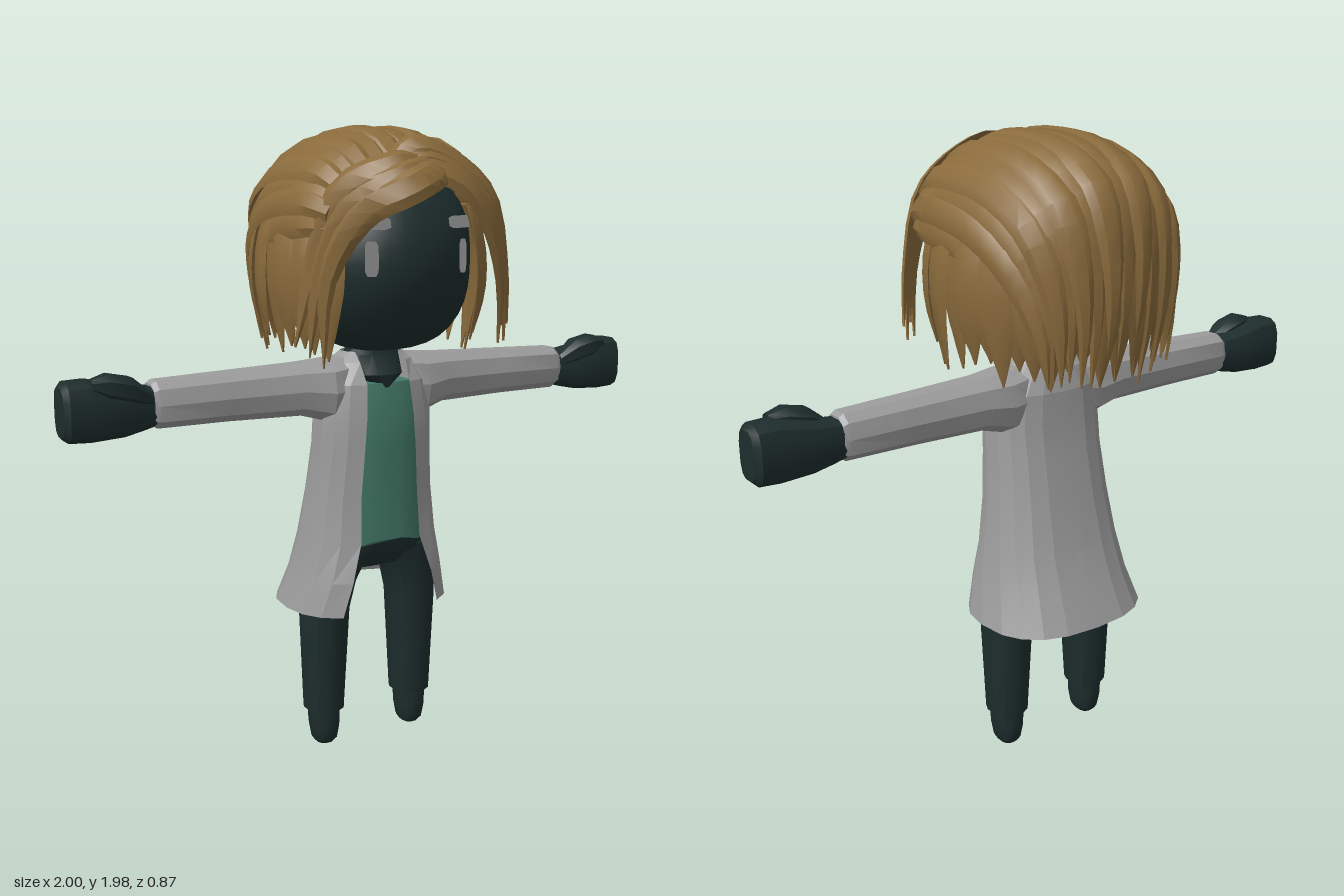
import * as THREE from 'three';
import { mergeGeometries, toCreasedNormals } from 'three/addons/utils/BufferGeometryUtils.js';

const V = (x, y, z) => new THREE.Vector3(x, y, z);
const spow = (v, p) => Math.sign(v) * Math.abs(v) ** p;
const jitter = (i) => { const s = Math.sin(i * 12.9898 + 4.1) * 43758.5453; return s - Math.floor(s); };

// Skin a list of equal-length rings that run counter-clockwise about the direction of travel.
function loft(rings, { closed = true, caps = true } = {}) {
  const n = rings[0].length, pos = [], idx = [];
  rings.forEach((r) => r.forEach((p) => pos.push(p.x, p.y, p.z)));
  for (let i = 0; i < rings.length - 1; i++) {
    for (let j = 0; j < (closed ? n : n - 1); j++) {
      const a = i * n + j, b = i * n + (j + 1) % n;
      idx.push(a, b, b + n, a, b + n, a + n);
    }
  }
  if (caps) {
    const e = (rings.length - 1) * n;
    for (let j = 1; j < n - 1; j++) idx.push(0, j + 1, j, e, e + j, e + j + 1);
  }
  const g = new THREE.BufferGeometry();
  g.setAttribute('position', new THREE.Float32BufferAttribute(pos, 3));
  g.setIndex(idx);
  return g;
}

// Upright body sections: [y, centre x, half width, back z, front z]
function upright(sections, sides, power = 0.8) {
  return loft(sections.map(([y, cx, hw, z0, z1]) => Array.from({ length: sides }, (_, k) => {
    const a = ((k + 0.5) / sides) * Math.PI * 2;
    return V(cx + hw * spow(Math.sin(a), power), y, (z0 + z1) / 2 + (z1 - z0) / 2 * spow(Math.cos(a), power));
  })));
}

// Sideways arm sections: [x, low y, high y, back z, front z]; s = 1 left, -1 right
function sideways(sections, s, sides, power = 0.8) {
  return loft(sections.map(([x, y0, y1, z0, z1]) => Array.from({ length: sides }, (_, k) => {
    const a = s * ((k + 0.5) / sides) * Math.PI * 2;
    return V(x * s, (y0 + y1) / 2 + (y1 - y0) / 2 * spow(Math.cos(a), power),
      (z0 + z1) / 2 + (z1 - z0) / 2 * spow(Math.sin(a), power));
  })));
}

// Flat tapering lock of hair along a curve, its broad face turned away from the head
const core = V(0, 1.6, -0.04);
function strand(points, width, thick = 0.016, steps = 12) {
  const curve = new THREE.CatmullRomCurve3(points);
  const rings = [];
  for (let i = 0; i <= steps; i++) {
    const t = i / steps, p = curve.getPoint(t), T = curve.getTangent(t);
    const S = p.clone().sub(core).normalize().cross(T).normalize();
    const O = T.clone().cross(S).normalize();
    const tip = t < 0.55 ? 1 : 1 - 0.96 * ((t - 0.55) / 0.45) ** 1.5;
    const w = width * Math.min(1, 0.65 + 2 * t) * tip, h = thick * (0.3 + 0.7 * tip);
    rings.push([[1, 0], [0.5, 1], [-0.5, 1], [-1, 0], [0, -0.5]].map(
      ([a, b]) => p.clone().addScaledVector(S, a * w).addScaledVector(O, b * h)));
  }
  return loft(rings);
}

// Head is a squarish ellipsoid; faceZ gives its front surface
const HEAD = { y: 1.58, z: 0.02, rx: 0.27, ry: 0.28, rz: 0.245, n: 2.6 };
const faceZ = (x, y) => HEAD.z + HEAD.rz * Math.max(0,
  1 - Math.abs(x / HEAD.rx) ** HEAD.n - Math.abs((y - HEAD.y) / HEAD.ry) ** HEAD.n) ** (1 / HEAD.n);

function headGeometry() {
  const g = new THREE.SphereGeometry(1, 32, 22), p = g.attributes.position;
  for (let i = 0; i < p.count; i++) {
    const v = V().fromBufferAttribute(p, i);
    const k = (Math.abs(v.x) ** HEAD.n + Math.abs(v.y) ** HEAD.n + Math.abs(v.z) ** HEAD.n) ** (-1 / HEAD.n);
    p.setXYZ(i, v.x * k * HEAD.rx, HEAD.y + v.y * k * HEAD.ry, HEAD.z + v.z * k * HEAD.rz);
  }
  return g;
}

// Thin facial plate hugging the head, rounded at both long ends
function facePatch(cx, cy, w, h) {
  const g = new THREE.PlaneGeometry(w, h, 8, 8), p = g.attributes.position;
  for (let i = 0; i < p.count; i++) {
    let x = p.getX(i), y = p.getY(i);
    if (h > w) x *= 1 - 0.35 * Math.abs(2 * y / h) ** 8;
    else y *= 1 - 0.35 * Math.abs(2 * x / w) ** 8;
    p.setXYZ(i, cx + x, cy + y, faceZ(cx + x, cy + y) + 0.009);
  }
  return g;
}

function hairGeometry() {
  const locks = [];
  // Crown: from the hairline over the top and down the back, [centre y, z] and [side x, y, z]
  const mid = [[1.84, 0.25], [1.93, 0.14], [1.955, -0.03], [1.93, -0.22], [1.84, -0.355], [1.68, -0.405], [1.5, -0.41], [1.3, -0.375]];
  const side = [[0.275, 1.69, 0.22], [0.305, 1.7, 0.14], [0.315, 1.69, 0.02], [0.312, 1.66, -0.1],
    [0.295, 1.6, -0.2], [0.268, 1.52, -0.27], [0.24, 1.42, -0.31], [0.22, 1.32, -0.325]];
  for (let i = 0; i < 17; i++) {
    const a = (i / 8 - 1) * Math.PI / 2, c = Math.abs(Math.cos(a)) ** 0.9, s = spow(Math.sin(a), 0.95);
    const lift = 1 + (i % 2) * 0.03, drop = (jitter(i) - 0.5) * 0.09;
    locks.push(strand(mid.map(([y, z], k) => {
      const [sx, sy, sz] = side[k];
      return V(sx * s * lift, sy + (y - sy) * c + (lift - 1) * 0.2 + drop * (k / 7) ** 3, (sz + (z - sz) * c) * (k > 3 ? lift : 1));
    }), 0.05, 0.016, 16));
  }
  // Lower layer: hanging locks round the sides and back
  for (let i = 0; i < 29; i++) {
    const a = THREE.MathUtils.degToRad(52 + i * 256 / 28);
    const power = Math.cos(a) > 0 ? 0.75 : 0.88;
    const x = 0.318 * spow(Math.sin(a), power), z = 0.33 * spow(Math.cos(a), power);
    const tip = 1.27 + jitter(i + 40) * 0.08, out = 1 + (i % 2) * 0.035;
    locks.push(strand([[0.9, 1.74], [1, 1.62], [1.01, 1.48], [0.94, tip]].map(
      ([k, y]) => V(x * k * out, y, -0.06 + z * k * out)), 0.062, 0.014, 8));
  }
  // Long fringe swept across the forehead to the left side
  for (let i = 0; i < 4; i++) {
    const d = i * 0.022;
    locks.push(strand([V(-0.17 + d, 1.79 + d, 0.27), V(-0.04, 1.845 + d, 0.33 - d * 0.6), V(0.09, 1.805 + d, 0.345 - d * 0.7),
      V(0.18 + d * 0.6, 1.7 + d, 0.335 - d * 0.6), V(0.24 + d * 0.9, 1.54, 0.315 - d * 0.8), V(0.27 + d, 1.33 + (i % 2) * 0.05, 0.275 - d * 0.7)],
    0.045, 0.016, 16));
  }
  // Curled fringe bulging forward, then falling on the right side
  for (let i = 0; i < 3; i++) {
    const d = i * 0.03;
    locks.push(strand([V(0.04, 1.85 + d * 0.5, 0.25), V(-0.03, 1.835 + d * 0.4, 0.37 - d), V(-0.13, 1.795 + d, 0.4 - d),
      V(-0.22 - d * 0.5, 1.73 + d, 0.31 - d), V(-0.285 - d * 0.4, 1.55, 0.22 - d), V(-0.28 - d, 1.28 + d, 0.18 - d)],
    0.05, 0.018, 16));
  }
  return toCreasedNormals(mergeGeometries(locks), 0.6);
}

export function createModel() {
  const model = new THREE.Group();
  const mat = (name, color, side = THREE.FrontSide) => {
    const m = new THREE.MeshStandardMaterial({ color, side });
    m.name = name;
    return m;
  };
  const dark = mat('dark skin and trousers', 0x1e2d2d);
  const hair = mat('golden brown hair', 0x8a6b3c, THREE.DoubleSide);
  const grey = mat('grey cloth', 0x9c9c9c, THREE.DoubleSide);
  const green = mat('green shirt', 0x437a68);
  const add = (name, geometry, material, crease = 0.6) => {
    const mesh = new THREE.Mesh(crease ? toCreasedNormals(geometry, crease) : geometry, material);
    mesh.name = name;
    model.add(mesh);
  };

  // Head and face
  add('head', headGeometry(), dark, 0);
  for (const s of [1, -1]) {
    add(s > 0 ? 'leftEye' : 'rightEye', facePatch(s * 0.158, 1.595, 0.036, 0.1), grey, 0);
    add(s > 0 ? 'leftBrow' : 'rightBrow', facePatch(s * 0.16, 1.695, 0.12, 0.036), grey, 0);
  }
  // Neck, ending in a point at the throat
  add('neck', upright([[1.185, 0, 0.012, -0.05, 0.076], [1.225, 0, 0.085, -0.1, 0.078], [1.285, 0, 0.09, -0.09, 0.035],
    [1.36, 0, 0.065, -0.09, 0.03]], 12), dark);

  // Hair: scalp cap under the locks
  add('hairCap', new THREE.SphereGeometry(1, 28, 14, 0, Math.PI * 2, 0, 1.6).rotateX(-0.6)
    .scale(0.3, 0.325, 0.315).translate(0, 1.61, -0.07), hair, 0);
  add('hairLocks', hairGeometry(), hair, 0);

  // Shirt and hips; the shirt hem rises to a shallow peak in the middle
  const shirt = upright([[0.68, 0, 0.19, -0.15, 0.085], [0.85, 0, 0.18, -0.14, 0.082], [1.0, 0, 0.17, -0.13, 0.088],
    [1.1, 0, 0.17, -0.12, 0.088], [1.2, 0, 0.15, -0.11, 0.07]], 16);
  const sp = shirt.attributes.position;
  for (let i = 0; i < 16; i++) sp.setY(i, 0.68 + 0.03 * Math.max(0, 1 - Math.abs(sp.getX(i)) / 0.12));
  add('shirt', shirt, green);
  add('hips', upright([[0.6, 0, 0.16, -0.13, 0.03], [0.65, 0, 0.19, -0.15, 0.072], [0.72, 0, 0.186, -0.148, 0.081]], 16), dark);

  // Open coat: [y, half width, back z, front z, half opening]
  const coat = [[0.47, 0.28, -0.32, 0.132, 0.175], [0.58, 0.25, -0.27, 0.134, 0.145], [0.7, 0.228, -0.225, 0.108, 0.108],
    [0.85, 0.208, -0.19, 0.1, 0.102], [1.0, 0.196, -0.16, 0.104, 0.092], [1.1, 0.195, -0.145, 0.102, 0.084],
    [1.2, 0.18, -0.14, 0.088, 0.076], [1.265, 0.135, -0.12, 0.06, 0.082], [1.295, 0.1, -0.09, 0.03, 0.08]];
  add('coat', loft(coat.map(([y, hw, z0, z1, open]) => {
    const a0 = Math.asin((open / hw) ** 1.25);
    return Array.from({ length: 17 }, (_, k) => {
      const a = a0 + (Math.PI * 2 - 2 * a0) * k / 16;
      return V(hw * spow(Math.sin(a), 0.8), y, (z0 + z1) / 2 + (z1 - z0) / 2 * spow(Math.cos(a), 0.8));
    });
  }), { closed: false, caps: false }), grey, 0.2);

  // Arms and legs
  for (const s of [1, -1]) {
    const side = s > 0 ? 'left' : 'right';
    add(side + 'Sleeve', sideways([[0.1, 1.08, 1.285, -0.115, 0.05], [0.17, 1.08, 1.277, -0.13, 0.065], [0.26, 1.105, 1.27, -0.12, 0.04],
      [0.5, 1.11, 1.262, -0.112, 0.026], [0.72, 1.11, 1.255, -0.105, 0.018], [0.735, 1.12, 1.245, -0.1, 0.012]], s, 10), grey, 0.4);
    add(side + 'Hand', sideways([[0.7, 1.125, 1.235, -0.095, 0.005], [0.76, 1.11, 1.24, -0.1, 0.012], [0.82, 1.098, 1.25, -0.108, 0.025],
      [0.92, 1.092, 1.272, -0.11, 0.028], [0.985, 1.095, 1.27, -0.105, 0.022], [1.0, 1.11, 1.255, -0.085, 0.005]], s, 12, 0.65), dark);
    add(side + 'Thumb', sideways([[0.74, 1.18, 1.225, -0.03, 0.01], [0.8, 1.19, 1.275, -0.055, 0.033],
      [0.87, 1.21, 1.29, -0.05, 0.036], [0.92, 1.24, 1.275, -0.03, 0.02]], s, 8), dark);
    add(side + 'Leg', upright([[0.12, s * 0.165, 0.063, -0.122, 0.012], [0.14, s * 0.165, 0.064, -0.123, 0.013],
      [0.47, s * 0.162, 0.076, -0.14, 0.036], [0.56, s * 0.148, 0.084, -0.142, 0.045], [0.66, s * 0.112, 0.1, -0.14, 0.06]], 12), dark);
    add(side + 'Foot', upright([[0, s * 0.165, 0.028, -0.09, -0.02], [0.015, s * 0.165, 0.038, -0.103, -0.006],
      [0.06, s * 0.165, 0.045, -0.112, 0.003], [0.135, s * 0.165, 0.05, -0.112, 0.003]], 12), dark);
  }
  return model;
}
